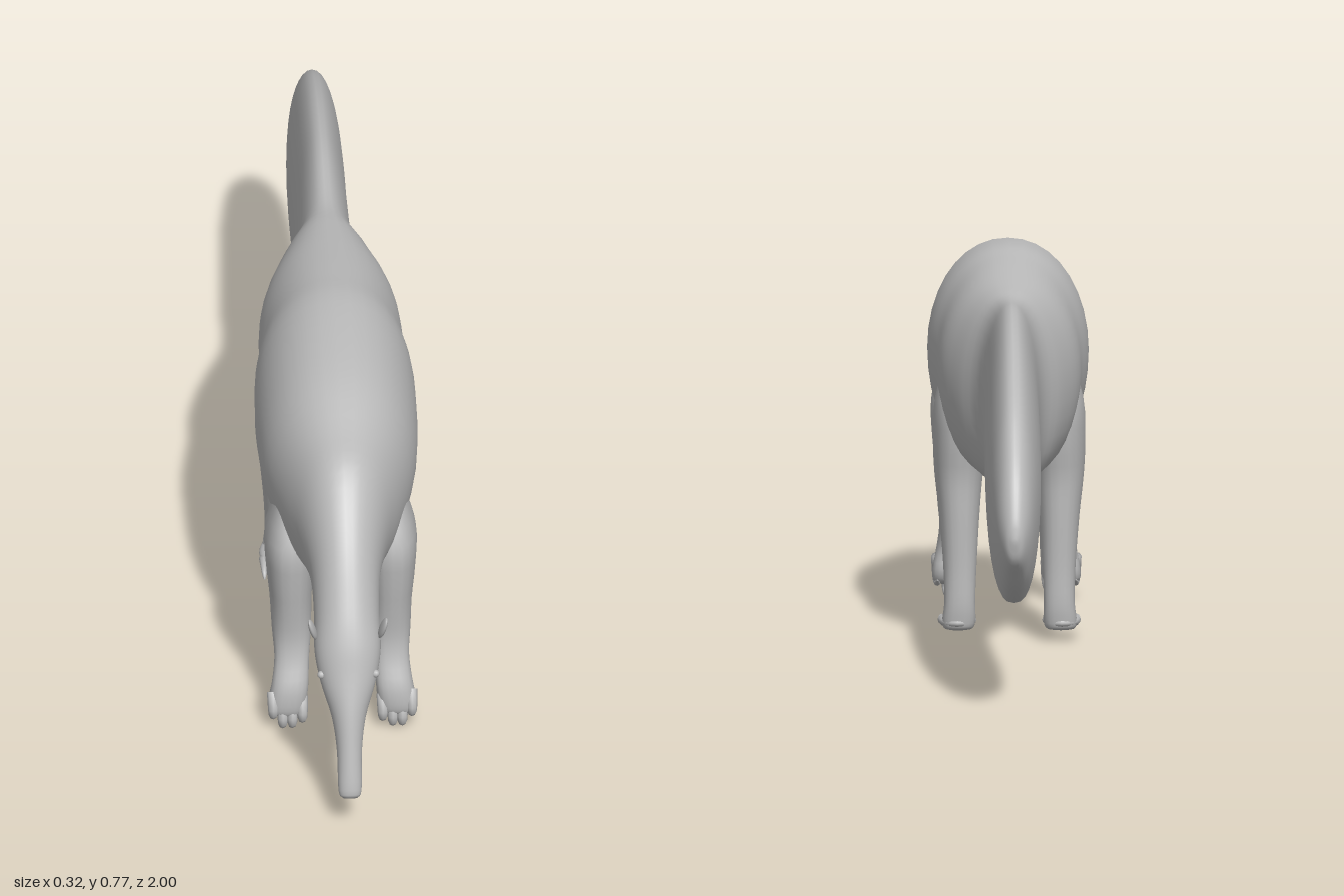
import * as THREE from 'three';

const grey = new THREE.MeshStandardMaterial({ color: 0xbababa });
grey.name = 'grey';

// Skin closed rings of points into one smooth, capped surface facing outwards.
function loft(rings) {
  const n = rings[0].length, pts = rings.flat(), index = [];
  for (let i = 0; i < rings.length - 1; i++) {
    for (let j = 0; j < n; j++) {
      const a = i * n + j, b = i * n + (j + 1) % n;
      index.push(a, b, a + n, b, b + n, a + n);
    }
  }
  [0, rings.length - 1].forEach((r, end) => {
    const mid = new THREE.Vector3();
    rings[r].forEach((p) => mid.addScaledVector(p, 1 / n));
    const c = pts.push(mid) - 1;
    for (let j = 0; j < n; j++) {
      const a = r * n + j, b = r * n + (j + 1) % n;
      index.push(...(end ? [a, b, c] : [b, a, c]));
    }
  });
  // A negative volume means the faces point inwards
  let volume = 0;
  const cross = new THREE.Vector3();
  for (let i = 0; i < index.length; i += 3) {
    volume += pts[index[i]].dot(cross.crossVectors(pts[index[i + 1]], pts[index[i + 2]]));
  }
  if (volume < 0) index.reverse();
  const g = new THREE.BufferGeometry().setFromPoints(pts);
  g.setIndex(index);
  g.computeVertexNormals();
  return g;
}

function add(parent, name, geometry) {
  const mesh = new THREE.Mesh(geometry, grey);
  mesh.name = name;
  parent.add(mesh);
  return mesh;
}

const spow = (v, e) => Math.sign(v) * Math.abs(v) ** e;

// Snout, torso and tail: top z, top y, bottom z, bottom y, half width
const bodySections = [
  [0.997, 0.08, 0.978, 0.07, 0.014], [1.0, 0.10, 0.965, 0.08, 0.023],
  [0.975, 0.19, 0.93, 0.14, 0.025], [0.955, 0.257, 0.895, 0.20, 0.034],
  [0.93, 0.325, 0.86, 0.26, 0.055], [0.907, 0.386, 0.82, 0.308, 0.066],
  [0.87, 0.455, 0.77, 0.345, 0.065], [0.80, 0.56, 0.72, 0.367, 0.07],
  [0.70, 0.662, 0.66, 0.362, 0.092], [0.60, 0.70, 0.58, 0.345, 0.122],
  [0.46, 0.745, 0.45, 0.33, 0.155], [0.25, 0.767, 0.26, 0.327, 0.16],
  [0.13, 0.757, 0.13, 0.327, 0.146], [0.0, 0.74, 0.0, 0.335, 0.138],
  [-0.1, 0.727, -0.1, 0.333, 0.105], [-0.19, 0.718, -0.19, 0.325, 0.063],
  [-0.37, 0.727, -0.37, 0.268, 0.055], [-0.56, 0.70, -0.56, 0.214, 0.056],
  [-0.72, 0.652, -0.72, 0.199, 0.055], [-0.826, 0.60, -0.83, 0.205, 0.05],
  [-0.90, 0.535, -0.91, 0.24, 0.043], [-0.955, 0.47, -0.957, 0.277, 0.034],
  [-0.99, 0.40, -0.99, 0.31, 0.02], [-1.0, 0.36, -1.0, 0.345, 0.006],
];

function bodyGeometry() {
  const tops = new THREE.CatmullRomCurve3(bodySections.map((s) => new THREE.Vector3(s[4], s[1], s[0])), false, 'catmullrom');
  const bottoms = new THREE.CatmullRomCurve3(bodySections.map((s) => new THREE.Vector3(0, s[3], s[2])), false, 'catmullrom');
  const rings = [], steps = (bodySections.length - 1) * 4;
  for (let i = 0; i <= steps; i++) {
    const top = tops.getPoint(i / steps), bottom = bottoms.getPoint(i / steps), w = top.x;
    top.x = 0;
    const ring = [];
    for (let j = 0; j < 36; j++) {
      const a = j / 36 * Math.PI * 2, s = Math.sin(a);
      const p = bottom.clone().lerp(top, 0.5 + s / 2);
      // The underside is fuller than the back
      p.x = w * spow(Math.cos(a), s < 0 ? 0.75 : 0.95);
      ring.push(p);
    }
    rings.push(ring);
  }
  return loft(rings);
}

// Legs: y, back z, front z, inner x, outer x
const frontLegSections = [
  [0.52, 0.49, 0.57, 0.07, 0.12], [0.42, 0.44, 0.62, 0.05, 0.15],
  [0.34, 0.435, 0.62, 0.053, 0.149], [0.27, 0.465, 0.612, 0.058, 0.142],
  [0.20, 0.515, 0.606, 0.06, 0.138], [0.15, 0.56, 0.615, 0.065, 0.134],
  [0.10, 0.58, 0.635, 0.067, 0.14], [0.06, 0.573, 0.64, 0.07, 0.147],
  [0.036, 0.58, 0.635, 0.074, 0.146], [0.028, 0.595, 0.62, 0.09, 0.13],
];
const hindLegSections = [
  [0.58, 0.04, 0.13, 0.06, 0.12], [0.48, -0.01, 0.19, 0.04, 0.148],
  [0.40, -0.01, 0.19, 0.045, 0.152], [0.33, 0.0, 0.165, 0.053, 0.149],
  [0.25, 0.0, 0.125, 0.06, 0.14], [0.15, 0.0, 0.08, 0.066, 0.132],
  [0.08, -0.002, 0.052, 0.069, 0.13], [0.045, 0.0, 0.06, 0.068, 0.134],
  [0.027, 0.004, 0.06, 0.072, 0.132], [0.022, 0.02, 0.05, 0.085, 0.12],
];

function legGeometry(sections, side) {
  const lows = new THREE.CatmullRomCurve3(sections.map((s) => new THREE.Vector3(s[3], s[0], s[1])), false, 'catmullrom');
  const highs = new THREE.CatmullRomCurve3(sections.map((s) => new THREE.Vector3(s[4], s[0], s[2])), false, 'catmullrom');
  const rings = [], steps = (sections.length - 1) * 3;
  for (let i = 0; i <= steps; i++) {
    const lo = lows.getPoint(i / steps), hi = highs.getPoint(i / steps), ring = [];
    for (let j = 0; j < 20; j++) {
      const a = j / 20 * Math.PI * 2;
      ring.push(new THREE.Vector3(
        side * THREE.MathUtils.lerp(lo.x, hi.x, 0.5 + spow(Math.cos(a), 0.85) / 2), lo.y,
        THREE.MathUtils.lerp(lo.z, hi.z, 0.5 + spow(Math.sin(a), 0.85) / 2)));
    }
    rings.push(ring);
  }
  return loft(rings);
}

// Curved, tapering toe and claw through three control points in one x plane
function clawGeometry(x, [y0, z0], [y1, z1], [y2, z2], radius) {
  const curve = new THREE.QuadraticBezierCurve3(
    new THREE.Vector3(x, y0, z0), new THREE.Vector3(x, y1, z1), new THREE.Vector3(x, y2, z2));
  const rings = [];
  for (let i = 0; i <= 8; i++) {
    const t = i / 8, p = curve.getPoint(t), d = curve.getTangent(t);
    const r = radius * Math.sqrt(1 - t * 0.98), ring = [];
    for (let j = 0; j < 8; j++) {
      const a = j / 8 * Math.PI * 2, u = Math.sin(a) * r;
      ring.push(new THREE.Vector3(x + Math.cos(a) * r, p.y + d.z * u, p.z - d.y * u));
    }
    rings.push(ring);
  }
  return loft(rings);
}

export function createModel() {
  const model = new THREE.Group();
  model.name = 'anteater';
  add(model, 'body', bodyGeometry());

  for (const side of [1, -1]) {
    const label = side > 0 ? 'left' : 'right';

    // Front leg standing on knuckles with claws curled back
    const front = new THREE.Group();
    front.name = label + 'FrontLeg';
    add(front, 'frontLimb', legGeometry(frontLegSections, side));
    [0.08, 0.1, 0.119, 0.138].forEach((x, i) => {
      const lift = [0.012, 0, 0, 0.022][i];
      add(front, 'frontClaw', clawGeometry(side * x, [0.06 + lift, 0.615], [-0.018 + lift, 0.67], [0.022 + lift, 0.545], 0.012));
    });

    // Hind leg with a flat foot and forward claws
    const hind = new THREE.Group();
    hind.name = label + 'HindLeg';
    add(hind, 'hindLimb', legGeometry(hindLegSections, side));
    const foot = add(hind, 'hindFoot', new THREE.SphereGeometry(1, 20, 12));
    foot.scale.set(0.038, 0.017, 0.058);
    foot.position.set(side * 0.104, 0.038, 0.055);
    for (let i = 0; i < 5; i++) {
      const reach = 0.14 - Math.abs(i - 2) * 0.007;
      add(hind, 'hindClaw', clawGeometry(side * (0.076 + i * 0.0145), [0.036, 0.07], [0.042, 0.115], [0.022, reach], 0.009));
    }
    model.add(front, hind);

    // Small upright ear and eye
    const ear = add(model, label + 'Ear', new THREE.SphereGeometry(1, 14, 10));
    ear.scale.set(0.006, 0.031, 0.014);
    ear.position.set(side * 0.07, 0.403, 0.872);
    ear.rotation.set(0.4, 0, -side * 0.25);
    const eye = add(model, label + 'Eye', new THREE.SphereGeometry(0.008, 10, 8));
    eye.position.set(side * 0.054, 0.315, 0.903);
  }
  return model;
}
